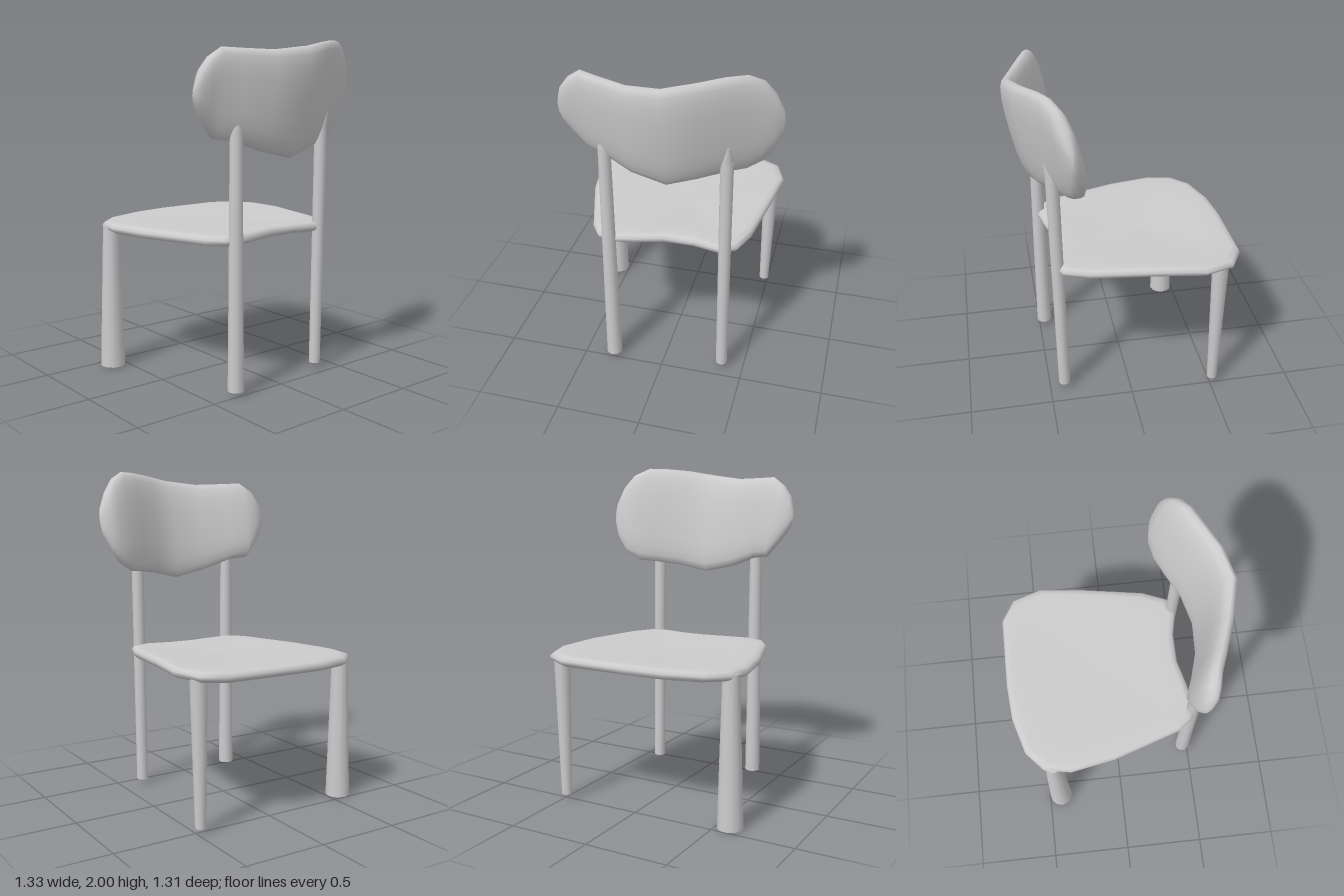
import * as THREE from 'three';

const material = new THREE.MeshStandardMaterial({ color: 0xcccccc });

// Skin over a row of closed rings, each an equal-length array of Vector3
function loft(name, rings) {
  const n = rings[0].length, positions = [], index = [];
  rings.flat().forEach(p => positions.push(p.x, p.y, p.z));
  for (let i = 0; i < rings.length - 1; i++) {
    for (let j = 0; j < n; j++) {
      const k = (j + 1) % n;
      const a = i * n + j, b = i * n + k, c = a + n, d = b + n;
      index.push(a, b, c, b, d, c);
    }
  }
  const geometry = new THREE.BufferGeometry();
  geometry.setAttribute('position', new THREE.Float32BufferAttribute(positions, 3));
  geometry.setIndex(index);
  geometry.computeVertexNormals();
  const mesh = new THREE.Mesh(geometry, material);
  mesh.name = name;
  return mesh;
}

// Tapered round bar between two points
function bar(name, from, to, rFrom, rTo) {
  const a = new THREE.Vector3(...from), b = new THREE.Vector3(...to);
  const axis = b.clone().sub(a);
  const mesh = new THREE.Mesh(new THREE.CylinderGeometry(rTo, rFrom, axis.length(), 12), material);
  mesh.position.copy(a).add(b).multiplyScalar(0.5);
  mesh.quaternion.setFromUnitVectors(new THREE.Vector3(0, 1, 0), axis.normalize());
  mesh.name = name;
  return mesh;
}

// Thin, slightly dished seat: its outline is shrunk towards the middle above and below
function seat() {
  const outline = [
    [-0.668, -0.39], [-0.59, -0.525], [-0.415, -0.583], [-0.14, -0.55], [0.25, -0.49],
    [0.40, -0.43], [0.445, -0.34], [0.41, -0.18], [0.41, 0], [0.45, 0.16],
    [0.478, 0.31], [0.45, 0.39], [0.36, 0.45], [-0.05, 0.585], [-0.32, 0.633],
    [-0.48, 0.605], [-0.585, 0.49], [-0.65, 0.27], [-0.668, 0.05],
  ];
  const cx = -0.1;
  // [scale, height]
  const layers = [
    [0, 0.912], [0.4, 0.915], [0.75, 0.922], [0.92, 0.925], [0.975, 0.918], [1, 0.9],
    [0.995, 0.88], [0.96, 0.865], [0.8, 0.858], [0.4, 0.848], [0, 0.846],
  ];
  const rings = layers.map(([s, y]) => outline.map(([x, z]) => {
    const lift = 0.018 * s * s * Math.max(0, -z / 0.55) * Math.max(0, 1 - Math.abs(x + 0.1) / 0.6)
      - 0.012 * s * s * Math.max(0, z / 0.6);
    return new THREE.Vector3(cx + (x - cx) * s, y + lift, z * s);
  }));
  return loft('seat', rings);
}

// Curved, leaning backrest: rounded sections strung along z
function backrest() {
  // [z, middle x, half thickness, bottom y, top y]
  const stations = [
    [-0.655, 0.34, 0.0, 1.69, 1.72], [-0.645, 0.34, 0.025, 1.63, 1.78],
    [-0.6, 0.342, 0.055, 1.53, 1.88], [-0.54, 0.355, 0.065, 1.445, 1.96],
    [-0.46, 0.39, 0.068, 1.4, 2.0], [-0.36, 0.44, 0.068, 1.39, 1.998],
    [-0.22, 0.52, 0.066, 1.368, 1.983], [-0.05, 0.575, 0.062, 1.33, 1.955],
    [0.15, 0.54, 0.06, 1.375, 1.932], [0.33, 0.475, 0.06, 1.44, 1.938],
    [0.43, 0.435, 0.06, 1.453, 1.943], [0.5, 0.43, 0.056, 1.54, 1.895],
    [0.55, 0.432, 0.042, 1.61, 1.83], [0.573, 0.432, 0.02, 1.66, 1.75], [0.58, 0.432, 0, 1.69, 1.71],
  ];
  const sides = 20;
  const soften = (v, p) => Math.sign(v) * Math.abs(v) ** p;
  const rings = stations.map(([z, x, t, y0, y1]) => Array.from({ length: sides }, (_, j) => {
    const a = (j / sides) * Math.PI * 2;
    const y = (y0 + y1) / 2 + soften(Math.sin(a), 0.8) * (y1 - y0) / 2;
    const lean = z < 0 ? 0.21 : 0.17;
    return new THREE.Vector3(x + soften(Math.cos(a), 0.8) * t + (y - 1.69) * lean, y, z);
  }));
  return loft('backrest', rings);
}

export function createModel() {
  const model = new THREE.Group();
  model.add(seat(), backrest());

  // Front legs: one thick and flaring, one slim and tapering
  model.add(bar('frontLegThick', [-0.425, 0, 0.583], [-0.425, 0.89, 0.578], 0.075, 0.049));
  model.add(bar('frontLegSlim', [-0.518, 0.035, -0.48], [-0.52, 0.89, -0.489], 0.031, 0.05));

  // Rear posts run up to the backrest and end in a blunt point
  const posts = [
    ['rearPostLeft', [0.467, 0.025, 0.318], [0.467, 1.5, 0.318], [0.485, 1.595, 0.323], 0.047, 0.036],
    ['rearPostRight', [0.41, 0.035, -0.365], [0.432, 1.48, -0.365], [0.465, 1.585, -0.376], 0.035, 0.038],
  ];
  for (const [name, foot, top, tip, r0, r1] of posts) {
    const post = new THREE.Group();
    post.name = name;
    post.add(bar('shaft', foot, top, r0, r1), bar('tip', top, tip, r1, 0.012));
    model.add(post);
  }
  return model;
}
